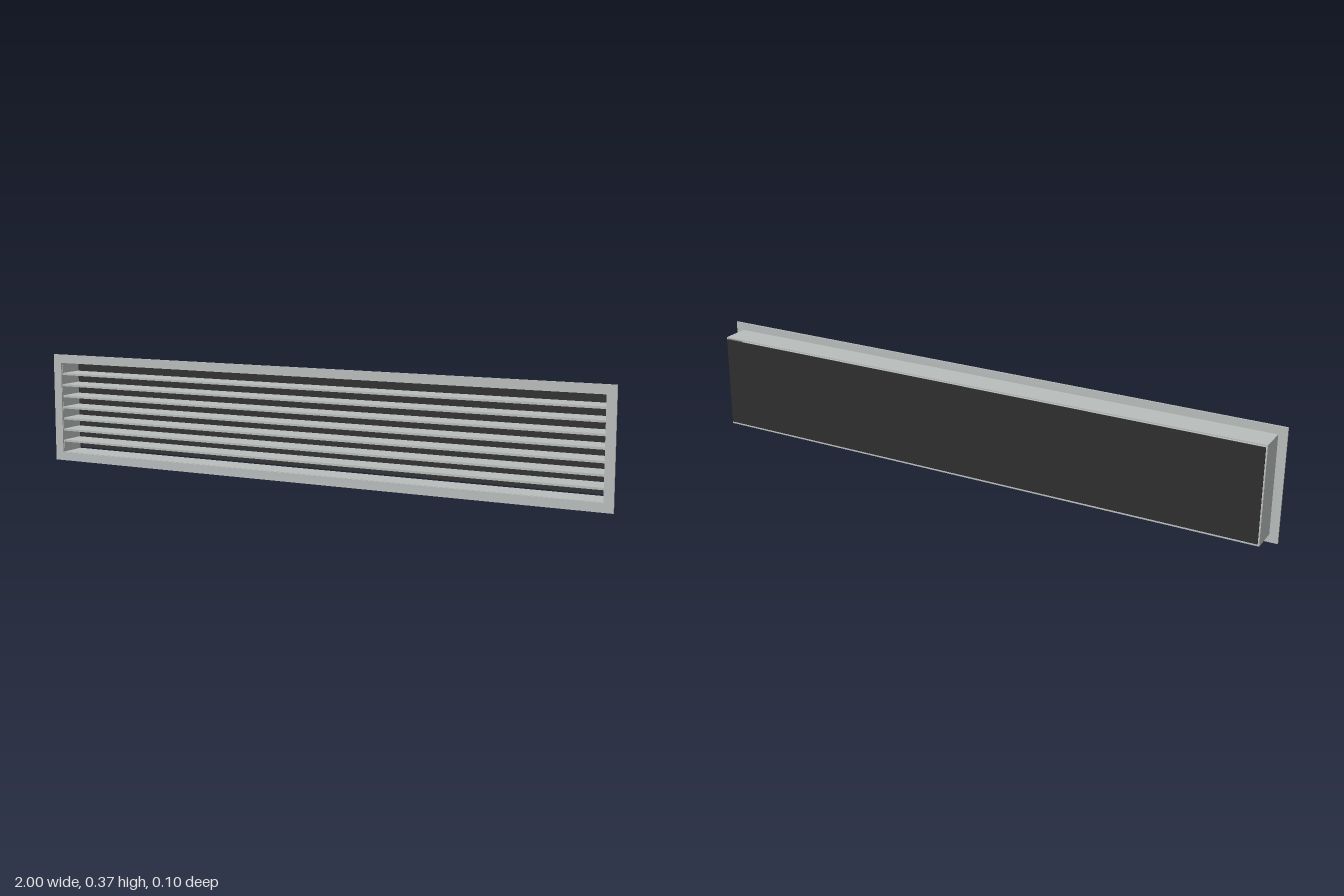
import * as THREE from 'three';

const CY = 0.187; // height of the centre line

// Rectangular ring, extruded along z from z0 to z1
function ring(w, h, innerW, innerH, z0, z1) {
  const outline = (W, H) => [[-W, -H], [W, -H], [W, H], [-W, H]].map(([x, y]) => new THREE.Vector2(x / 2, y / 2));
  const shape = new THREE.Shape(outline(w, h));
  shape.holes.push(new THREE.Path(outline(innerW, innerH).reverse()));
  const g = new THREE.ExtrudeGeometry(shape, { depth: z1 - z0, bevelEnabled: false });
  return g.translate(0, CY, z0);
}

export function createModel() {
  const group = new THREE.Group();
  const metal = new THREE.MeshStandardMaterial({ color: 0xb9bdbc });
  metal.name = 'grey metal';
  const dark = new THREE.MeshStandardMaterial({ color: 0x2e2e2e });
  dark.name = 'dark backing';

  const add = (name, geometry, material) => {
    const mesh = new THREE.Mesh(geometry, material);
    mesh.name = name;
    group.add(mesh);
    return mesh;
  };

  // Thin front flange and the collar behind it
  add('flange', ring(2, 0.374, 1.938, 0.316, 0.046, 0.051), metal);
  add('collar', ring(1.944, 0.322, 1.936, 0.314, -0.046, 0.046), metal);

  // Horizontal louvre blades, evenly spaced
  const blade = new THREE.BoxGeometry(1.937, 0.007, 0.088);
  for (let i = -3; i <= 3; i++) {
    add('blade' + (i + 4), blade, metal).position.set(0, CY + i * 0.0394, 0.001);
  }

  // Dark plate just behind the collar
  add('backPlate', new THREE.BoxGeometry(1.936, 0.308, 0.002).translate(0, CY + 0.001, -0.05), dark);

  return group;
}
